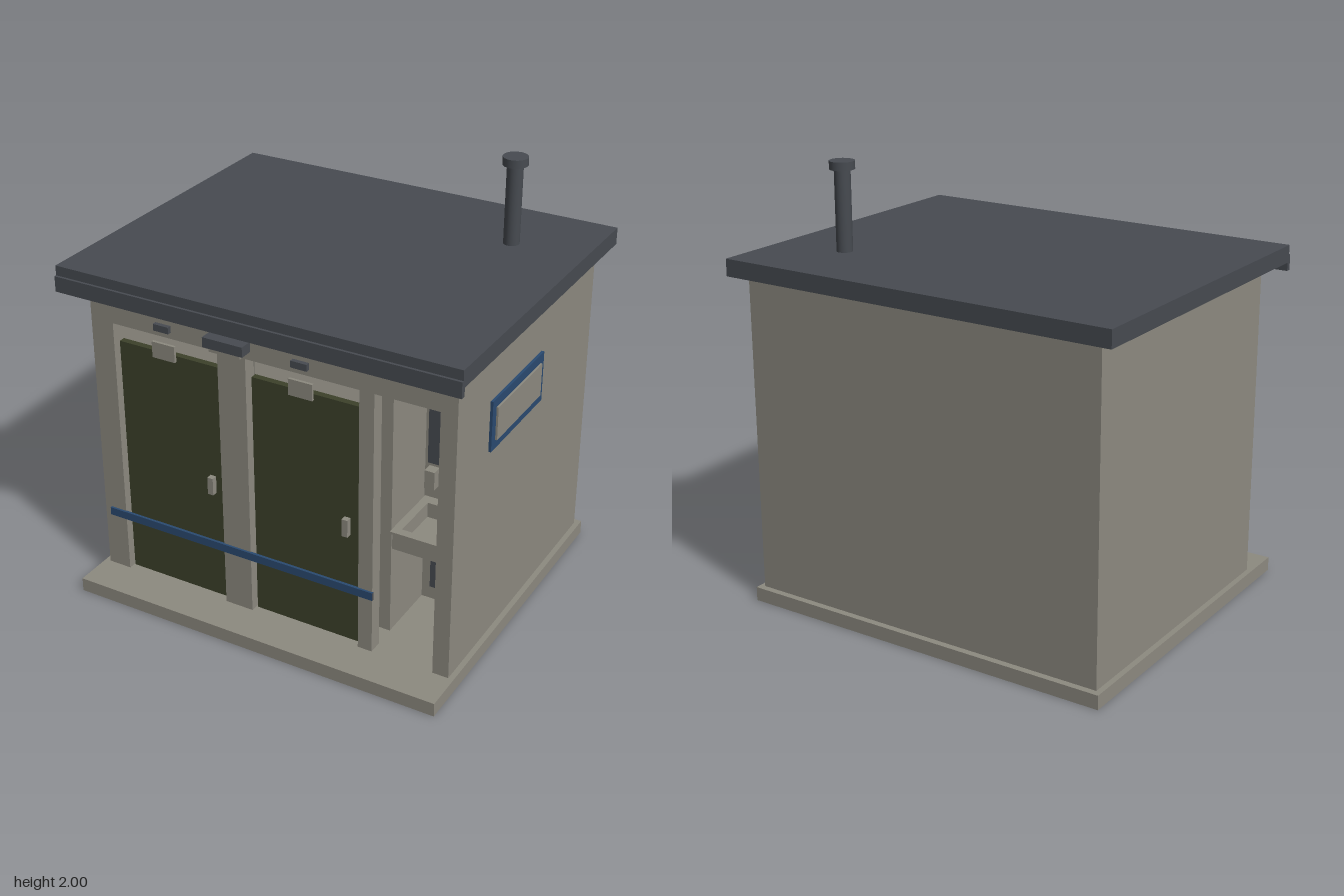
import * as THREE from 'three';

const mat = (name, color) => {
  const m = new THREE.MeshStandardMaterial({ color });
  m.name = name;
  return m;
};

export function createModel() {
  const wall = mat('warm grey', 0x8d8a80);
  const dark = mat('slate', 0x474b51);
  const green = mat('olive green', 0x3c412a);
  const blue = mat('blue', 0x2a4a70);

  const root = new THREE.Group();
  root.name = 'washroomCabin';

  const add = (name, geometry, material, parent = root) => {
    const m = new THREE.Mesh(geometry, material);
    m.name = name;
    parent.add(m);
    return m;
  };
  // Box given by its limits on each axis
  const box = (name, material, x0, x1, y0, y1, z0, z1, parent = root) => {
    const m = add(name, new THREE.BoxGeometry(x1 - x0, y1 - y0, z1 - z0), material, parent);
    m.position.set((x0 + x1) / 2, (y0 + y1) / 2, (z0 + z1) / 2);
    return m;
  };
  const cylinder = (name, material, r, x, y0, y1, z) => {
    const m = add(name, new THREE.CylinderGeometry(r, r, y1 - y0, 20), material);
    m.position.set(x, (y0 + y1) / 2, z);
    return m;
  };
  // Rectangular panel with rectangular holes, extruded along z; limits are [x0, x1, y0, y1]
  const corners = ([x0, x1, y0, y1]) =>
    [[x0, y0], [x1, y0], [x1, y1], [x0, y1]].map(p => new THREE.Vector2(...p));
  const panel = (outer, holes, depth) => {
    const shape = new THREE.Shape(corners(outer));
    holes.forEach(h => shape.holes.push(new THREE.Path(corners(h).reverse())));
    return new THREE.ExtrudeGeometry(shape, { depth, bevelEnabled: false });
  };

  // Floor slab with a slate underside
  box('floorSlab', [wall, wall, wall, dark, wall, wall], -0.904, 0.902, 0, 0.065, -0.775, 0.805);

  // Outer walls
  box('backWall', wall, -0.878, 0.877, 0.065, 1.525, -0.745, -0.675);
  box('rightWall', wall, -0.878, -0.81, 0.065, 1.525, -0.675, 0.56);
  box('leftWall', wall, 0.805, 0.877, 0.065, 1.525, -0.675, 0.56);

  // Front wall with two doorways and the wash alcove
  const openings = [
    [-0.765, -0.233, 0.065, 1.327],
    [-0.095, 0.442, 0.065, 1.327],
    [0.51, 0.802, 0.065, 1.327]
  ];
  add('frontWall', panel([-0.878, 0.877, 0.0645, 1.525], openings, 0.065), wall).position.z = 0.56;

  // Inner partitions
  box('cellPartition', wall, -0.2, -0.13, 0.065, 1.525, -0.675, 0.5);
  box('alcovePartition', wall, 0.45, 0.508, 0.065, 1.525, -0.675, 0.455);
  box('alcoveBack', wall, 0.508, 0.805, 0.065, 1.525, 0.1, 0.15);

  // Roof and front fascia
  box('roof', dark, -0.952, 0.95, 1.525, 1.603, -0.803, 0.745);
  box('frontFascia', dark, -0.952, 0.95, 1.487, 1.558, 0.733, 0.757);

  // Vent pipe
  cylinder('ventPipe', dark, 0.036, 0.612, 1.6, 1.967, -0.418);
  cylinder('ventCap', dark, 0.056, 0.612, 1.963, 2, -0.418);

  // Doors, each with handle, plate and lamp
  [[-0.757, -0.238, -0.297, -0.5], [-0.085, 0.437, 0.373, 0.173]].forEach(([x0, x1, hx, cx], i) => {
    const door = new THREE.Group();
    door.name = 'door' + (i + 1);
    root.add(door);
    box('doorLeaf', green, x0, x1, 0.068, 1.232, 0.565, 0.595, door);
    box('doorHandle', wall, hx - 0.014, hx + 0.014, 0.607, 0.69, 0.595, 0.622, door);
    box('doorPlate', wall, cx - 0.057, cx + 0.057, 1.222, 1.297, 0.622, 0.635, door);
    box('doorLamp', dark, cx - 0.038, cx + 0.038, 1.357, 1.388, 0.62, 0.645, door);
  });

  // Lamp over the middle post
  box('mainLamp', dark, -0.262, -0.068, 1.367, 1.413, 0.62, 0.687);
  box('mainLampLens', wall, -0.24, -0.09, 1.346, 1.367, 0.656, 0.674);

  // Rail across the doors, with slate ends
  box('frontRail', [dark, dark, blue, blue, blue, blue], -0.845, 0.515, 0.338, 0.376, 0.622, 0.635);

  // Wash alcove fittings
  box('mirror', dark, 0.527, 0.785, 0.778, 1.102, 0.15, 0.165);
  box('soapDispenser', wall, 0.53, 0.578, 0.667, 0.757, 0.15, 0.2);
  box('towelDispenser', wall, 0.742, 0.805, 0.697, 0.857, 0.17, 0.35);
  box('tap', wall, 0.645, 0.667, 0.6, 0.692, 0.165, 0.19);
  box('tapSpout', wall, 0.645, 0.667, 0.672, 0.692, 0.19, 0.26);
  box('drainPipe', dark, 0.637, 0.673, 0.272, 0.512, 0.3, 0.336);
  const basin = new THREE.Group();
  basin.name = 'basin';
  root.add(basin);
  box('basinFloor', wall, 0.52, 0.79, 0.508, 0.526, 0.155, 0.47, basin);
  const ring = (name, outer, inner, y, h) => {
    const m = add(name, panel(outer, [inner], h), wall, basin);
    m.rotation.x = -Math.PI / 2;
    m.position.y = y;
  };
  ring('basinSides', [0.52, 0.79, -0.47, -0.155], [0.55, 0.76, -0.44, -0.2], 0.526, 0.06);
  ring('basinRim', [0.512, 0.797, -0.48, -0.15], [0.55, 0.76, -0.44, -0.2], 0.586, 0.012);

  // Side window: blue frame around a raised pane
  const frame = add('windowFrame',
    panel([-0.323, 0.187, 1.015, 1.25], [[-0.288, 0.152, 1.057, 1.21]], 0.012), blue);
  frame.rotation.y = Math.PI / 2;
  frame.position.x = 0.877;
  box('windowPane', wall, 0.87, 0.898, 1.057, 1.21, -0.152, 0.288);

  return root;
}
